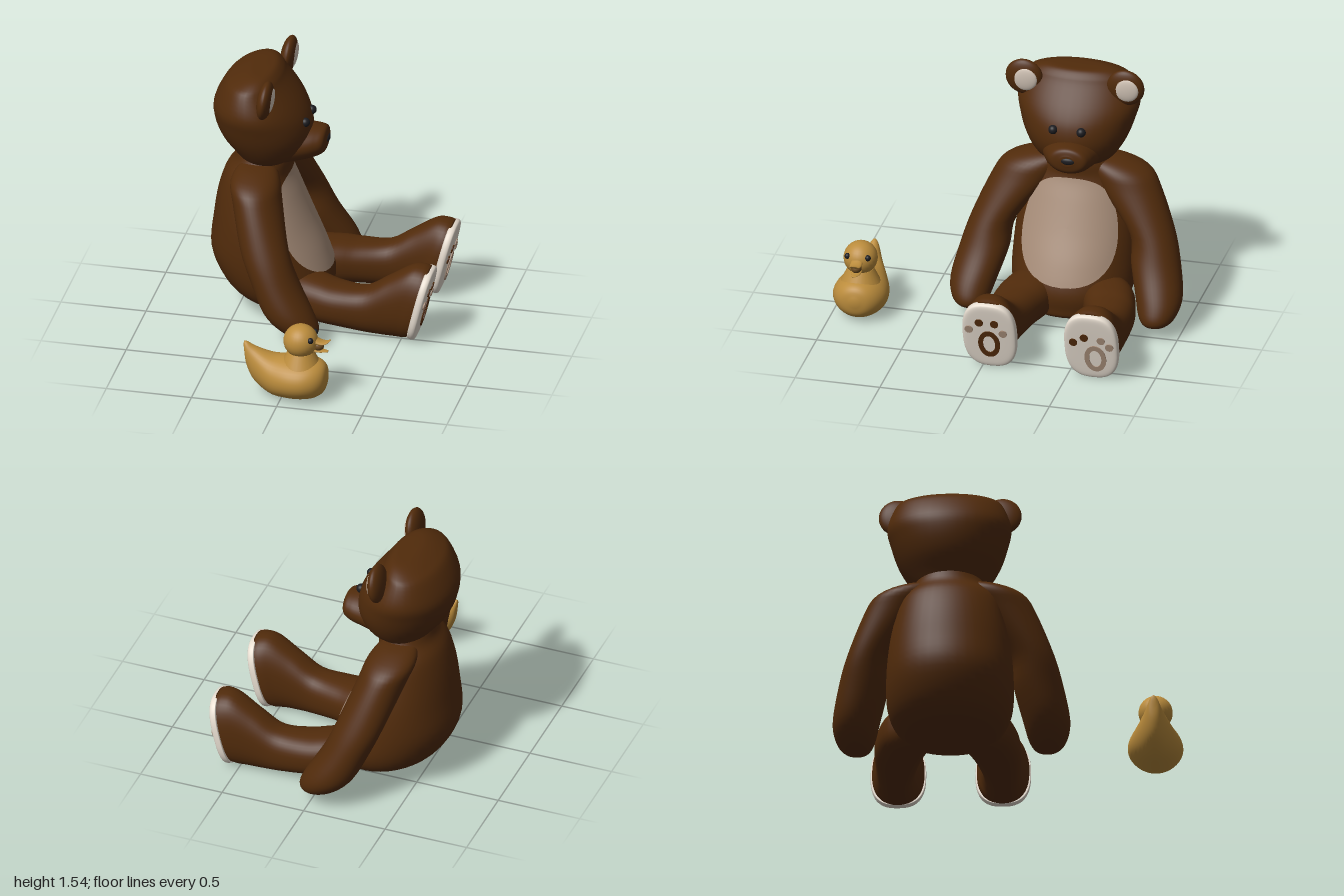
import * as THREE from 'three';

const mat = (name, color) => {
  const m = new THREE.MeshStandardMaterial({ color });
  m.name = name;
  return m;
};
const X = new THREE.Vector3(1, 0, 0), Y = new THREE.Vector3(0, 1, 0), Z = new THREE.Vector3(0, 0, 1);
const DOWN = new THREE.Vector3(0, -1, 0);

// Smooth surface through rings [x, y, z, ra, rb] set square to the axis; rb lies along z, n squares the section
function surface(rings, axis, n = 2) {
  const path = new THREE.CatmullRomCurve3(rings.map(r => new THREE.Vector3(r[0], r[1], r[2])), false, 'catmullrom');
  const size = new THREE.CatmullRomCurve3(rings.map(r => new THREE.Vector3(r[3], r[4], 0)), false, 'catmullrom');
  const pw = v => Math.sign(v) * Math.abs(v) ** (2 / n);
  const A = new THREE.Vector3().crossVectors(Z, axis);
  const at = (t, a, grow = 1) => {
    const s = size.getPoint(t);
    return path.getPoint(t)
      .addScaledVector(A, pw(Math.cos(a)) * Math.max(s.x, 0.001) * grow)
      .addScaledVector(Z, pw(Math.sin(a)) * Math.max(s.y, 0.001) * grow);
  };
  at.path = path;
  return at;
}

// Indexed tube of rows x cols from a function of (t, angle), with optional end caps
function skin(fn, rows, cols, ends) {
  const pos = [], idx = [];
  for (let i = 0; i <= rows; i++)
    for (let j = 0; j < cols; j++) pos.push(...fn(i / rows, (j / cols) * Math.PI * 2).toArray());
  for (let i = 0; i < rows; i++)
    for (let j = 0; j < cols; j++) {
      const a = i * cols + j, b = i * cols + (j + 1) % cols;
      idx.push(a, b, a + cols, b, b + cols, a + cols);
    }
  if (ends) {
    const p = pos.length / 3, last = rows * cols;
    pos.push(...ends[0].toArray(), ...ends[1].toArray());
    for (let j = 0; j < cols; j++) {
      const k = (j + 1) % cols;
      idx.push(k, j, p, last + j, last + k, p + 1);
    }
  }
  const g = new THREE.BufferGeometry();
  g.setAttribute('position', new THREE.Float32BufferAttribute(pos, 3));
  g.setIndex(idx);
  g.computeVertexNormals();
  return g;
}
const loft = (rings, axis, n, rows = 36, cols = 40) => {
  const s = surface(rings, axis, n);
  return skin(s, rows, cols, [s.path.getPoint(0), s.path.getPoint(1)]);
};

export function createModel() {
  const fur = mat('brown fur', 0x512b0b), belly = mat('belly tan', 0xa68c78);
  const cream = mat('sole cream', 0xfff4e6), earPale = mat('inner ear', 0xd6c8ba);
  const black = mat('eye black', 0x1c1c20), yellow = mat('duck yellow', 0xbb8c3c);
  const mouth = mat('beak inside', 0x6b4a20);

  const root = new THREE.Group();
  const add = (parent, name, geo, material, p = [0, 0, 0], s = [1, 1, 1]) => {
    const m = new THREE.Mesh(geo, material);
    m.name = name;
    m.position.set(...p);
    m.scale.set(...s);
    parent.add(m);
  };
  const ball = new THREE.SphereGeometry(1, 28, 20);

  const bear = new THREE.Group();
  bear.name = 'bear';
  bear.position.z = -0.32;
  root.add(bear);

  // Torso
  const torsoRings = [
    [-0.2, 0.05, 0, 0.1, 0.15], [-0.2, 0.065, 0, 0.2, 0.25], [-0.255, 0.12, 0, 0.275, 0.32],
    [-0.295, 0.22, 0, 0.325, 0.36], [-0.35, 0.37, 0, 0.33, 0.365], [-0.383, 0.55, 0, 0.283, 0.35],
    [-0.405, 0.72, 0, 0.235, 0.315], [-0.41, 0.85, 0, 0.19, 0.275], [-0.385, 0.93, 0, 0.165, 0.215],
    [-0.385, 1.0, 0, 0.15, 0.18]];
  add(bear, 'torso', loft(torsoRings, Y), fur);

  // Belly patch follows the torso surface
  const torso = surface(torsoRings, Y);
  const sq = v => Math.sign(v) * Math.abs(v) ** 0.87;
  add(bear, 'bellyPatch', skin((t, a) => {
    const r = 1 - 0.999 * t;
    return torso(0.575 + 0.205 * r * sq(Math.sin(a)), Math.PI + 0.91 * r * sq(Math.cos(a)), 1.016);
  }, 12, 48), belly);

  // Head, muzzle and face
  add(bear, 'head', loft([
    [-0.37, 0.925, 0, 0.13, 0.17], [-0.345, 0.99, 0, 0.2, 0.235], [-0.36, 1.09, 0, 0.26, 0.295],
    [-0.385, 1.2, 0, 0.275, 0.335], [-0.41, 1.3, 0, 0.25, 0.355], [-0.425, 1.42, 0, 0.175, 0.31],
    [-0.41, 1.465, 0, 0.13, 0.265], [-0.39, 1.495, 0, 0.075, 0.18], [-0.385, 1.5, 0, 0.02, 0.05]], Y), fur);
  add(bear, 'muzzle', loft([
    [-0.25, 1.035, 0, 0.12, 0.19], [-0.14, 1.04, -0.01, 0.102, 0.155], [-0.07, 1.047, -0.02, 0.09, 0.13],
    [-0.025, 1.055, -0.025, 0.07, 0.1], [-0.01, 1.06, -0.025, 0.03, 0.04]], X), fur);
  add(bear, 'nose', ball, black, [-0.014, 1.06, -0.03], [0.014, 0.021, 0.04]);

  // Thin paw marks, drawn in the sole's plane
  const oval = (c, ry, rz) => c.absellipse(0, 0, rz, ry, 0, Math.PI * 2, false, 0);
  const ringShape = oval(new THREE.Shape(), 0.092, 0.064);
  ringShape.holes.push(oval(new THREE.Path(), 0.06, 0.036));
  const ringGeo = new THREE.ExtrudeGeometry(ringShape, { depth: 0.008, bevelEnabled: false, curveSegments: 24 });
  ringGeo.rotateY(Math.PI / 2);
  const dot = new THREE.CylinderGeometry(1, 1, 0.008, 20).rotateZ(-Math.PI / 2);

  // Toe pads as [y, z, brown] for each foot
  const feet = {
    right: { ring: [-0.05, 0], toes: [[0.045, 0.115, 0], [0.1, 0.052, 1], [0.1, -0.038, 1], [0.035, -0.085, 0]] },
    left: { ring: [-0.07, -0.025], toes: [[0.035, 0.1, 1], [0.075, 0.034, 1], [0.065, -0.065, 0], [0.022, -0.112, 0]] },
  };

  for (const [word, side] of [['right', 1], ['left', -1]]) {
    add(bear, word + 'Eye', ball, black, [-0.12, 1.2, side * 0.083], [0.027, 0.027, 0.027]);

    // Ear with pale inside
    const ear = new THREE.Group();
    ear.name = word + 'Ear';
    ear.position.set(-0.305, 1.425, side * 0.299);
    ear.rotation.z = -0.12;
    bear.add(ear);
    add(ear, 'earShell', ball, fur, [0, 0, 0], [0.045, 0.115, 0.11]);
    add(ear, 'innerEar', ball, earPale, [0.03, 0, -0.01], [0.018, 0.075, 0.072]);

    // Arm, spreading out of the sloping shoulder
    add(bear, word + 'Arm', loft([
      [-0.39, 0.955, 0.12, 0.04, 0.06], [-0.385, 0.935, 0.17, 0.1, 0.13], [-0.375, 0.88, 0.25, 0.14, 0.18],
      [-0.345, 0.78, 0.32, 0.14, 0.178], [-0.27, 0.55, 0.465, 0.138, 0.132], [-0.2, 0.38, 0.505, 0.138, 0.143],
      [-0.115, 0.22, 0.545, 0.145, 0.135], [-0.055, 0.13, 0.55, 0.122, 0.11], [-0.02, 0.085, 0.545, 0.07, 0.07],
      [-0.015, 0.075, 0.545, 0.02, 0.02],
    ].map(r => [r[0], r[1], r[2] * side, r[3], r[4]]), DOWN), fur);

    // Leg, sheared towards the foot so the sole leans
    const leg = loft([
      [-0.25, 0.18, 0.16, 0.06, 0.06], [-0.15, 0.175, 0.2, 0.125, 0.15], [0, 0.165, 0.25, 0.13, 0.155],
      [0.12, 0.155, 0.28, 0.125, 0.14], [0.28, 0.15, 0.3, 0.135, 0.118], [0.4, 0.188, 0.305, 0.18, 0.118],
      [0.5, 0.228, 0.305, 0.221, 0.132], [0.56, 0.231, 0.3, 0.226, 0.147], [0.605, 0.228, 0.3, 0.216, 0.152],
    ].map(r => [r[0], r[1], r[2] * side - 0.03, r[3], r[4]]), X, 2.4);
    const p = leg.attributes.position;
    for (let i = 0; i < p.count; i++)
      p.setX(i, p.getX(i) + (p.getY(i) - 0.23) * 0.25 * THREE.MathUtils.smoothstep(p.getX(i), 0.25, 0.58));
    leg.computeVertexNormals();
    add(bear, word + 'Leg', leg, fur);

    // Sole with paw print
    const foot = new THREE.Group();
    foot.name = word + 'Sole';
    foot.position.set(0.6, 0.225, side * 0.3 - 0.03);
    foot.rotation.z = -0.24;
    bear.add(foot);
    add(foot, 'solePad', loft([
      [-0.012, 0, 0, 0.222, 0.157], [0.016, 0, 0, 0.224, 0.159], [0.032, 0, 0, 0.21, 0.146],
      [0.036, 0, 0, 0.15, 0.1], [0.036, 0, 0, 0.01, 0.01]], X, 2.7, 20), cream);
    const { ring, toes } = feet[word];
    add(foot, 'pawRing', ringGeo, side > 0 ? fur : belly, [0.034, ...ring]);
    for (const [y, z, brown] of toes)
      add(foot, 'toePad', dot, brown ? fur : belly, [0.038, y, z], [1, 0.025, 0.024]);
  }

  // Toy duck
  const duck = new THREE.Group();
  duck.name = 'duck';
  duck.position.z = 0.84;
  root.add(duck);
  add(duck, 'duckBody', loft([
    [-0.228, 0.3, 0, 0.02, 0.012], [-0.21, 0.245, 0, 0.075, 0.035], [-0.16, 0.185, 0, 0.107, 0.065],
    [-0.06, 0.136, 0, 0.12, 0.12], [0.04, 0.13, 0, 0.124, 0.153], [0.13, 0.131, 0, 0.122, 0.157],
    [0.2, 0.134, 0, 0.11, 0.13], [0.245, 0.138, 0, 0.078, 0.083], [0.264, 0.142, 0, 0.02, 0.02]], X), yellow);
  add(duck, 'duckNeck', new THREE.CylinderGeometry(0.075, 0.125, 0.1, 28), yellow, [0.105, 0.245, 0]);
  add(duck, 'duckHead', ball, yellow, [0.105, 0.362, 0], [0.1, 0.098, 0.098]);
  for (const side of [1, -1])
    add(duck, 'duckEye', ball, black, [0.175, 0.395, side * 0.06], [0.017, 0.018, 0.017]);
  add(duck, 'upperBeak', loft([
    [0.17, 0.378, 0, 0.026, 0.034], [0.22, 0.364, 0, 0.013, 0.034], [0.255, 0.366, 0, 0.007, 0.028],
    [0.28, 0.383, 0, 0.003, 0.012]], X, 2, 14, 20), yellow);
  add(duck, 'lowerBeak', loft([
    [0.17, 0.318, 0, 0.014, 0.03], [0.22, 0.311, 0, 0.007, 0.028], [0.265, 0.31, 0, 0.003, 0.012]],
    X, 2, 12, 20), yellow);
  add(duck, 'mouth', ball, mouth, [0.207, 0.34, 0], [0.034, 0.028, 0.03]);

  return root;
}
